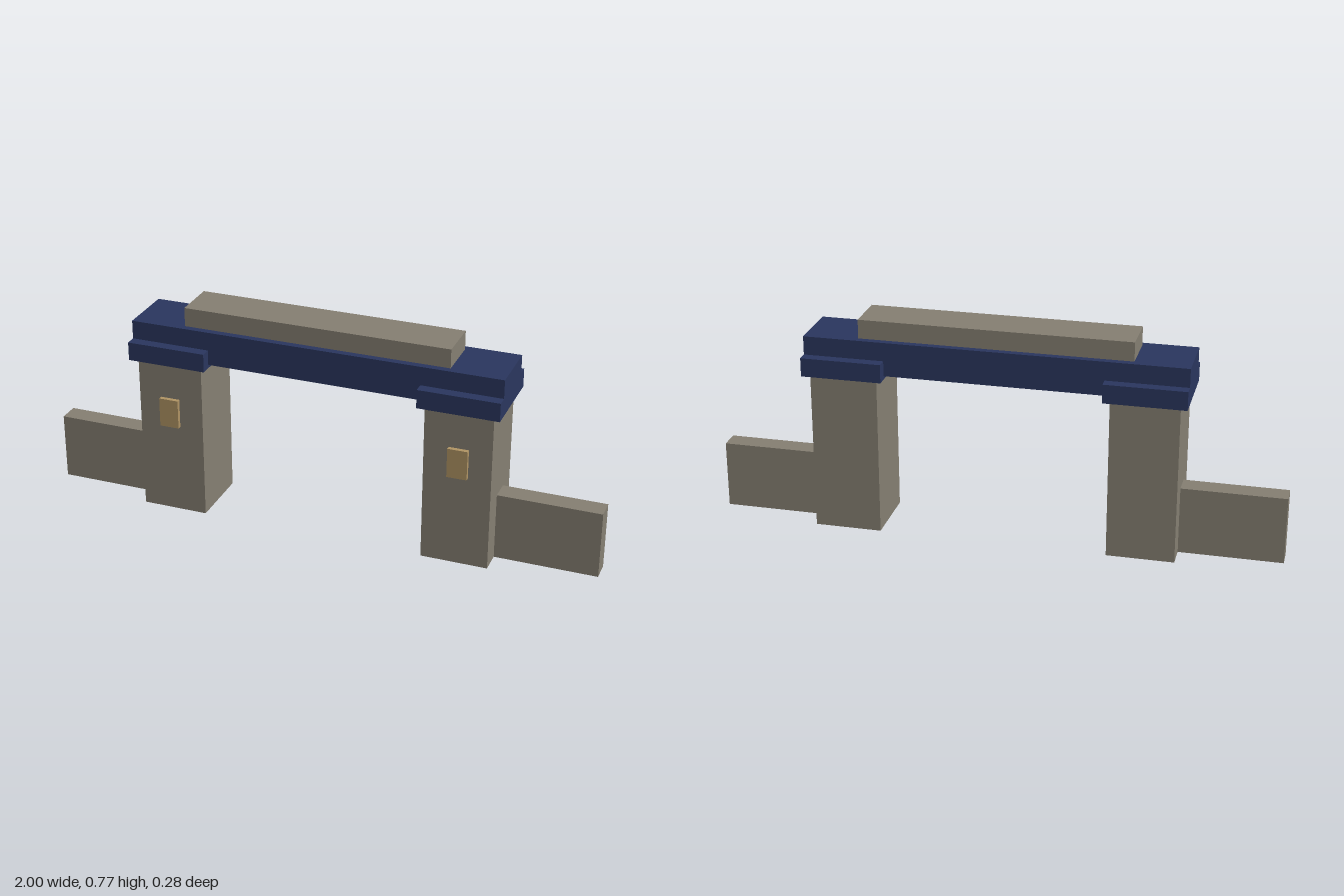
import * as THREE from 'three';

const stone = new THREE.MeshStandardMaterial({ color: 0x857f72 });
const blue = new THREE.MeshStandardMaterial({ color: 0x2a365e });
const tan = new THREE.MeshStandardMaterial({ color: 0xb09464 });

// Box given by its [min, max] range along each axis
function block(name, material, [x0, x1], [y0, y1], [z0, z1]) {
  const mesh = new THREE.Mesh(new THREE.BoxGeometry(x1 - x0, y1 - y0, z1 - z0), material);
  mesh.position.set((x0 + x1) / 2, (y0 + y1) / 2, (z0 + z1) / 2);
  mesh.name = name;
  return mesh;
}

export function createModel() {
  const gate = new THREE.Group();
  gate.name = 'gateway';

  // Two mirrored sides: pillar, its capital, front plaque and low wing wall
  for (const [side, s] of [['left', 1], ['right', -1]]) {
    const span = (a, b) => (s > 0 ? [a, b] : [-b, -a]);
    const group = new THREE.Group();
    group.name = side + 'Side';
    group.add(
      block('pillar', stone, span(0.402, 0.638), [0, 0.57], [-0.119, 0.119]),
      block('capital', blue, span(0.38, 0.663), [0.568, 0.634], [-0.142, 0.142]),
      block('plaque', tan, span(0.488, 0.558), [0.33, 0.435], [0.115, 0.134]),
      block('wingWall', stone, span(0.63, 1), [0, 0.24], [-0.037, 0.037]),
    );
    gate.add(group);
  }

  // Lintel across both pillars, with the coping stone on top
  gate.add(
    block('lintel', blue, [-0.663, 0.663], [0.58, 0.7], [-0.104, 0.104]),
    block('coping', stone, [-0.474, 0.474], [0.7, 0.767], [-0.08, 0.08]),
  );
  return gate;
}
